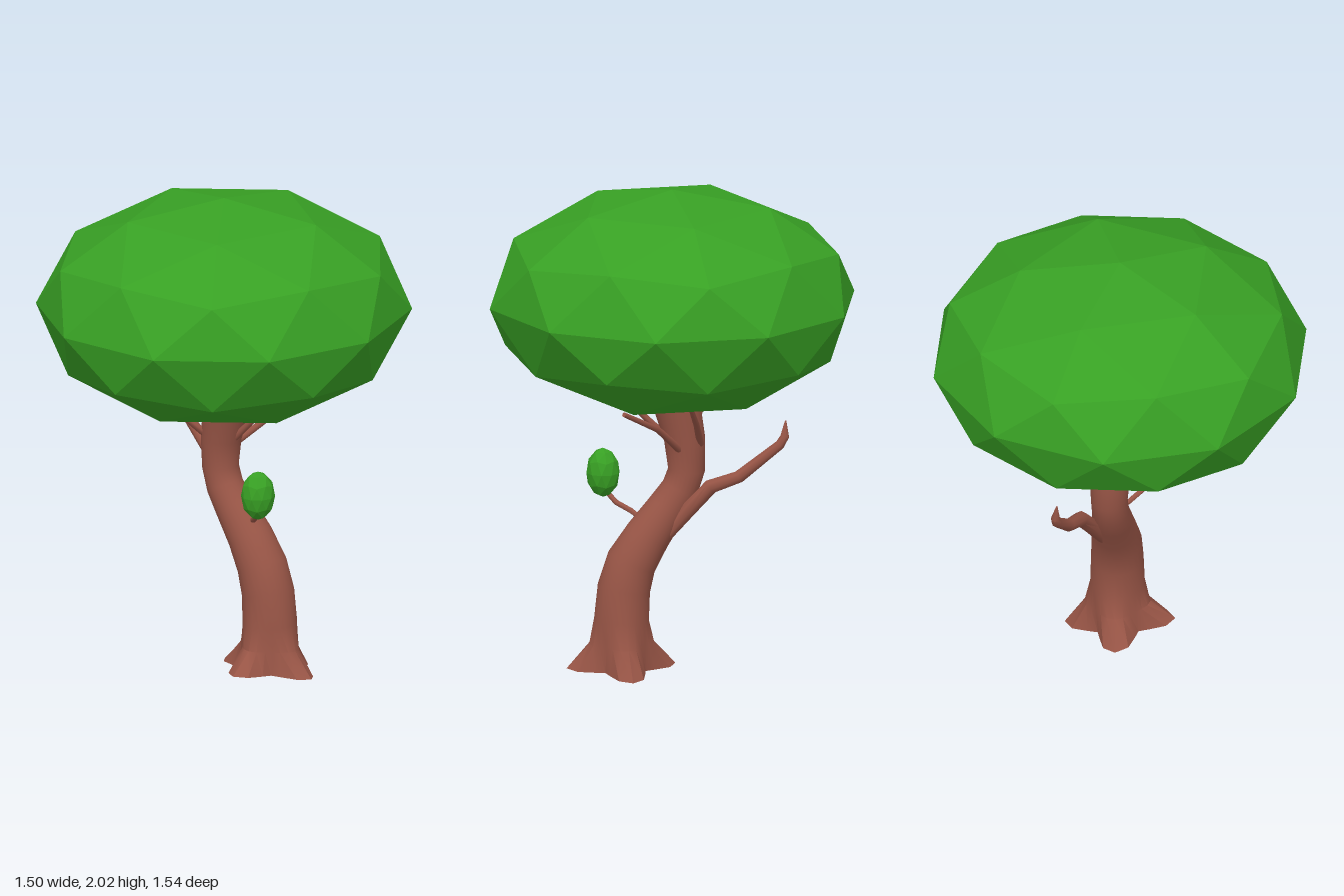
import * as THREE from 'three';
import { toCreasedNormals } from 'three/addons/utils/BufferGeometryUtils.js';

const bark = new THREE.MeshStandardMaterial({ color: 0x985546 });
const leaf = new THREE.MeshStandardMaterial({ color: 0x38a024, flatShading: true });

// Closed tube through rows of [x, y, z, radius, extra radius at four root lobes]
function limb(name, rows, sides, crease) {
  const points = rows.map(([x, y, z]) => new THREE.Vector3(x, y, z));
  const last = rows.length - 1;
  const positions = [], index = [];
  rows.forEach(([, , , radius, lobe = 0], i) => {
    const t = points[Math.min(i + 1, last)].clone().sub(points[Math.max(i - 1, 0)]).normalize();
    const u = new THREE.Vector3(1, 0, 0).addScaledVector(t, -t.x).normalize();
    const v = t.clone().cross(u);
    for (let j = 0; j < sides; j++) {
      const a = (j / sides) * Math.PI * 2;
      const r = radius + lobe * Math.cos(2 * a) ** 2;
      const p = points[i].clone().addScaledVector(u, r * Math.cos(a)).addScaledVector(v, r * Math.sin(a));
      positions.push(p.x, p.y, p.z);
      if (i < last) {
        const k = (j + 1) % sides, b = i * sides, c = b + sides;
        index.push(b + j, b + k, c + j, b + k, c + k, c + j);
      }
    }
  });
  // End caps
  const start = rows.length * sides, top = last * sides;
  positions.push(...points[0].toArray(), ...points[last].toArray());
  for (let j = 0; j < sides; j++) {
    const k = (j + 1) % sides;
    index.push(start, k, j, start + 1, top + j, top + k);
  }
  const geometry = new THREE.BufferGeometry();
  geometry.setAttribute('position', new THREE.Float32BufferAttribute(positions, 3));
  geometry.setIndex(index);
  const mesh = new THREE.Mesh(toCreasedNormals(geometry, crease), bark);
  mesh.name = name;
  return mesh;
}

// Faceted ellipsoid with one corner pointing straight up
function foliage(name, radii, position) {
  const geometry = new THREE.IcosahedronGeometry(1, 1);
  geometry.rotateZ(-Math.atan(2 / (1 + Math.sqrt(5))));
  geometry.scale(...radii);
  geometry.computeVertexNormals();
  const mesh = new THREE.Mesh(geometry, leaf);
  mesh.position.set(...position);
  mesh.name = name;
  return mesh;
}

export function createModel() {
  const tree = new THREE.Group();
  tree.name = 'tree';

  // Leaning trunk, flaring into four roots at the ground
  tree.add(limb('trunk', [
    [0.02, 0, 0.22, 0.12, 0.11],
    [0.03, 0.1, 0.22, 0.115, 0.022],
    [0.03, 0.2, 0.22, 0.113],
    [0.03, 0.33, 0.21, 0.109],
    [0.03, 0.44, 0.178, 0.104],
    [0.035, 0.55, 0.11, 0.094],
    [0.035, 0.66, 0.03, 0.083],
    [0.037, 0.74, -0.025, 0.077],
    [0.04, 0.82, -0.052, 0.076],
    [0.037, 0.95, -0.045, 0.085],
    [0.033, 1.1, -0.012, 0.098],
    [0.03, 1.18, 0.01, 0.105],
  ], 24, 0.6));

  // Large bare branch at the back
  tree.add(limb('bareBranch', [
    [0.07, 0.54, 0.05, 0.025],
    [0.105, 0.66, -0.04, 0.033],
    [0.15, 0.77, -0.13, 0.032],
    [0.19, 0.815, -0.24, 0.027],
    [0.225, 0.95, -0.405, 0.021],
    [0.228, 0.985, -0.425, 0.019],
    [0.222, 1.05, -0.43, 0.003],
  ], 8, 0.9));

  // Twig carrying the small leaf cluster
  tree.add(limb('leafTwig', [
    [0.06, 0.61, 0.12, 0.009],
    [-0.02, 0.645, 0.17, 0.011],
    [-0.07, 0.67, 0.22, 0.011],
    [-0.105, 0.73, 0.27, 0.01],
  ], 8, 0.9));

  // Thin branches spreading into the canopy
  const spreading = [
    [[0.03, 0.95, 0.02], [0.038, 1.04, 0.11], [0.035, 1.14, 0.21]],
    [[0.09, 0.91, -0.02], [0.18, 1.03, 0.1], [0.3, 1.13, 0.27]],
    [[-0.02, 0.97, -0.09], [-0.09, 1.05, -0.145], [-0.19, 1.13, -0.21]],
    [[0.09, 0.94, -0.1], [0.17, 1.04, -0.065], [0.27, 1.13, -0.02]],
  ];
  spreading.forEach((path, i) => {
    const rows = path.map((p, k) => [...p, 0.016 - 0.003 * k]);
    tree.add(limb('upperBranch' + (i + 1), rows, 8, 0.9));
  });

  tree.add(foliage('canopy', [0.788, 0.467, 0.77], [0, 1.533, 0]));
  tree.add(foliage('smallLeafCluster', [0.072, 0.104, 0.07], [-0.105, 0.792, 0.268]));
  return tree;
}
